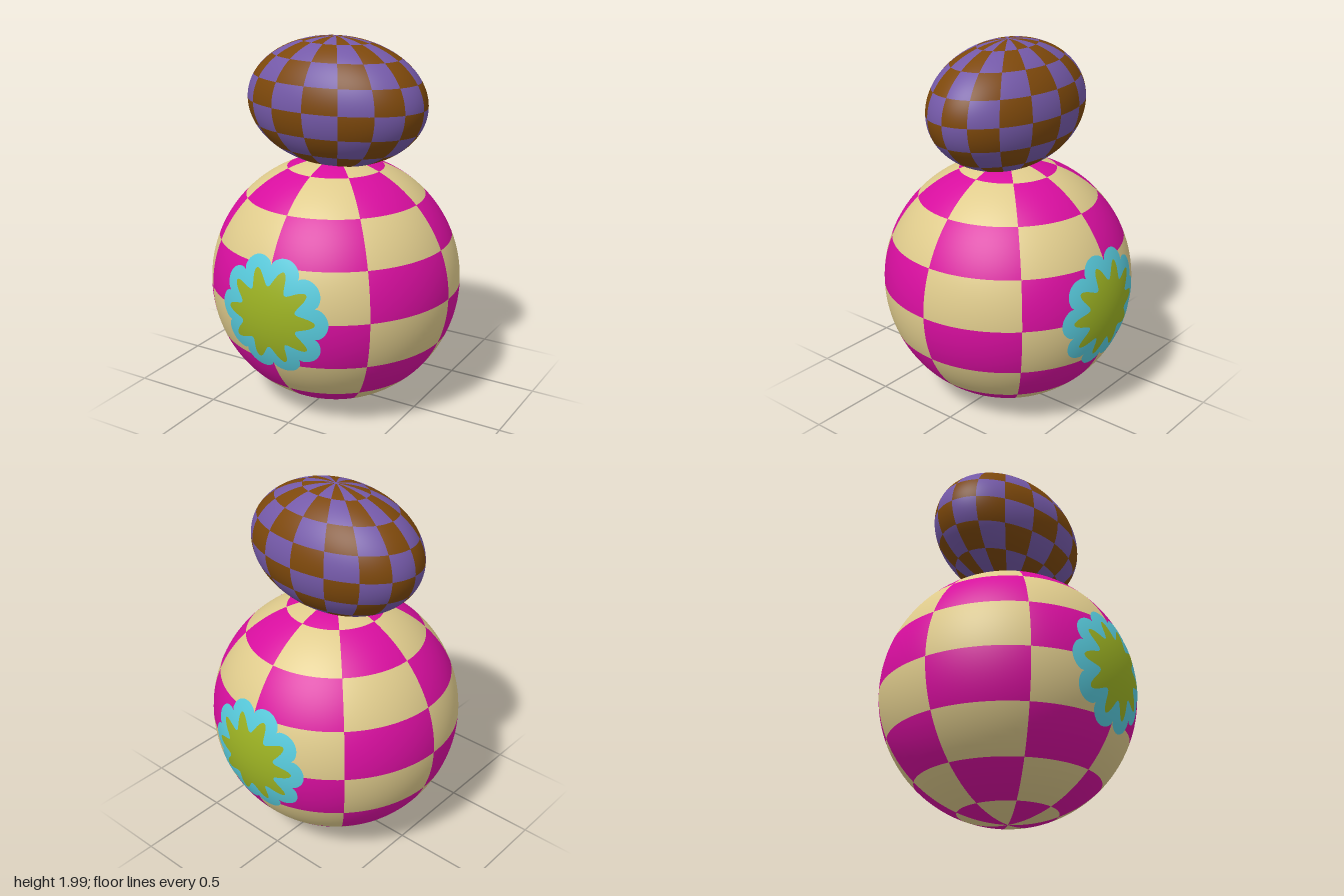
import * as THREE from 'three';

const R = 0.68, BODY_Y = 0.686;

const mat = (name, color) => {
  const m = new THREE.MeshStandardMaterial({ color });
  m.name = name;
  return m;
};

// Unit sphere with its quads sorted into two material groups by a rule on (u, v)
function patternSphere(w, h, rule) {
  const geo = new THREE.SphereGeometry(1, w, h);
  const uv = geo.attributes.uv, idx = geo.index.array;
  const lists = [[], []];
  const cell = (a, n) => (Math.floor(a * n) + 0.5) / n;
  for (let i = 0; i < idx.length; i += 3) {
    const tri = [idx[i], idx[i + 1], idx[i + 2]];
    const u = tri.reduce((s, k) => s + uv.getX(k), 0) / 3;
    const v = 1 - tri.reduce((s, k) => s + uv.getY(k), 0) / 3;
    lists[rule(cell(u, w), cell(v, h)) ? 1 : 0].push(...tri);
  }
  geo.setIndex([...lists[0], ...lists[1]]);
  geo.addGroup(0, lists[0].length, 0);
  geo.addGroup(lists[0].length, lists[1].length, 1);
  return geo;
}

const odd = (u, v, cols, rows) => (Math.floor(u * cols) + Math.floor(v * rows)) % 2 === 1;

// Thin painted patch hugging the front of the ball, with outline radius(angle)
function patch(radius, lift) {
  const rings = 12, segs = 240, pos = [], index = [], r0 = R + lift;
  for (let i = 0; i <= rings; i++) {
    for (let j = 0; j <= segs; j++) {
      const a = (j / segs) * Math.PI * 2, r = radius(a) * i / rings;
      pos.push(r * Math.cos(a), r * Math.sin(a), Math.sqrt(r0 * r0 - r * r));
      if (i < rings && j < segs) {
        const p = i * (segs + 1) + j, q = p + segs + 1;
        index.push(p, q, q + 1, p, q + 1, p + 1);
      }
    }
  }
  const geo = new THREE.BufferGeometry();
  geo.setAttribute('position', new THREE.Float32BufferAttribute(pos, 3));
  geo.setAttribute('normal', new THREE.Float32BufferAttribute(pos.map(c => c / r0), 3));
  geo.setIndex(index);
  return geo;
}

export function createModel() {
  const model = new THREE.Group();
  const magenta = mat('magenta', 0xd80e9f), tan = mat('tan', 0xdfcb8c);
  const purple = mat('purple', 0x7459a8), brown = mat('brown', 0x7d480b);
  const cyan = mat('cyan', 0x58cbdd), green = mat('green', 0x9cb223);
  const add = (parent, name, geo, material) => {
    const mesh = new THREE.Mesh(geo, material);
    mesh.name = name;
    parent.add(mesh);
    return mesh;
  };

  // Body: large checkered ball
  const body = add(model, 'body',
    patternSphere(128, 64, (u, v) => odd(u, v, 8, 8)), [magenta, tan]);
  body.scale.setScalar(R);
  body.position.y = BODY_Y;

  // Head: wide ellipsoid with slightly rounded checks that stop short of the poles
  const head = add(model, 'head', patternSphere(192, 96, (u, v) => {
    const a = Math.abs(2 * ((u * 16) % 1) - 1), b = Math.abs(2 * ((v * 8) % 1) - 1);
    return odd(u, v, 16, 8) && a ** 8 + b ** 8 < 1 && v > 0.015 && v < 0.985;
  }), [purple, brown]);
  head.scale.set(0.51, 0.34, 0.34);
  head.position.y = 1.66;

  // Flowers: ten scalloped petals with a ten-armed star, front and back
  const petals = patch(a => 0.265 + 0.05 * Math.abs(Math.cos(5 * a)) ** 0.6, 0.002);
  const star = patch(a => 0.165 + 0.09 * ((1 + Math.cos(10 * a)) / 2) ** 1.2, 0.004);
  for (const [name, turn] of [['frontFlower', 0], ['backFlower', Math.PI]]) {
    const flower = new THREE.Group();
    flower.name = name;
    add(flower, 'petals', petals, cyan);
    add(flower, 'star', star, green);
    flower.position.y = BODY_Y;
    flower.rotation.y = turn;
    model.add(flower);
  }
  return model;
}
